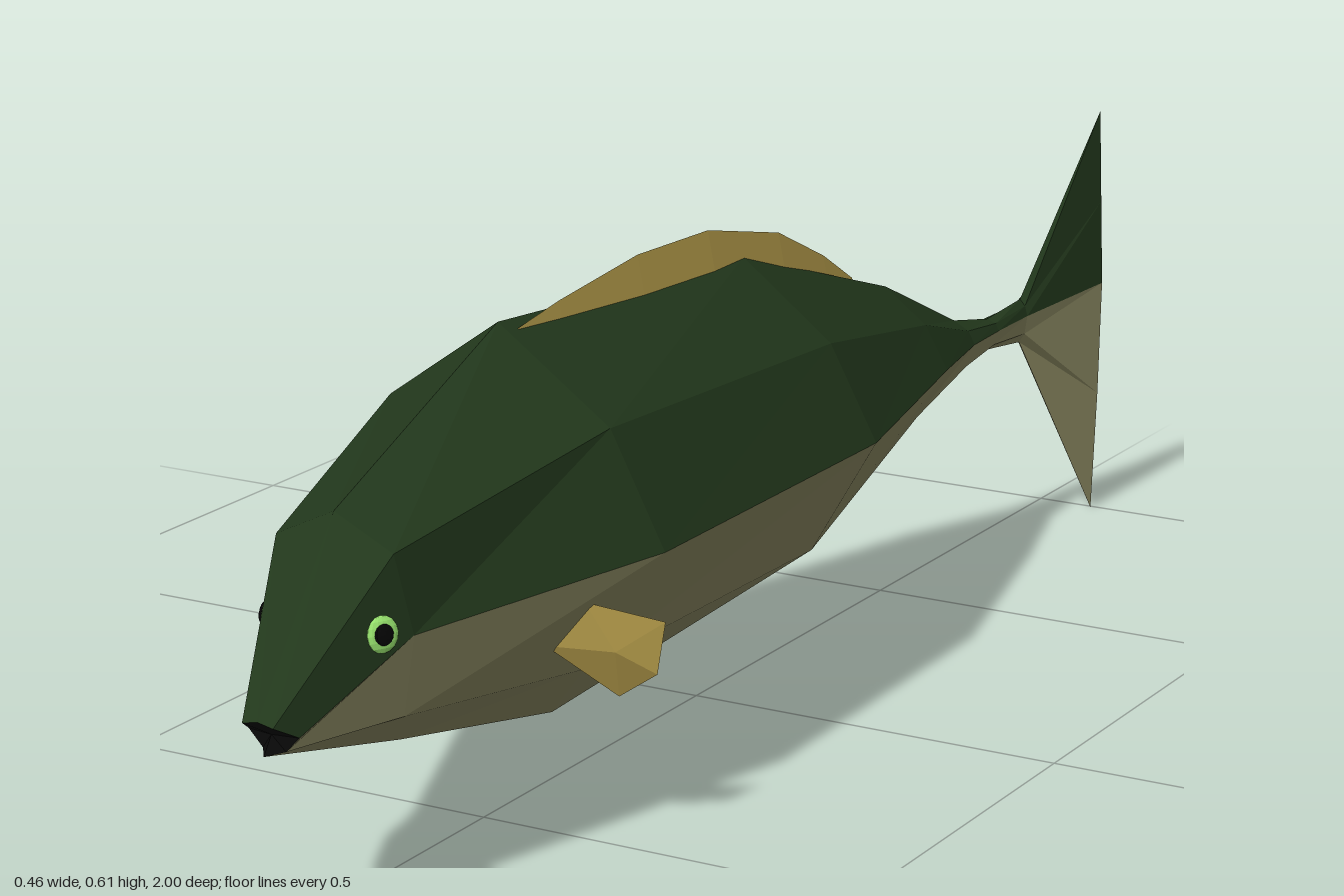
import * as THREE from 'three';

const V = (x, y, z) => new THREE.Vector3(x, y, z);
const mat = (color, side = THREE.FrontSide) =>
  new THREE.MeshStandardMaterial({ color, flatShading: true, side });

function meshFrom(name, tris, material) {
  const g = new THREE.BufferGeometry().setFromPoints(tris);
  g.computeVertexNormals();
  const m = new THREE.Mesh(g, material);
  m.name = name;
  return m;
}

// Skin between successive rows of points
function skin(rows) {
  const t = [];
  for (let i = 0; i < rows.length - 1; i++) {
    const p = rows[i], q = rows[i + 1];
    for (let k = 0; k < p.length - 1; k++) {
      t.push(p[k], q[k], q[k + 1], p[k], q[k + 1], p[k + 1]);
    }
  }
  return t;
}

// Fan of triangles from a centre point through a list of points
function fan(c, pts) {
  const t = [];
  for (let i = 0; i < pts.length - 1; i++) t.push(c, pts[i], pts[i + 1]);
  return t;
}

// Cross-sections, nose to tail: centre x, z of top / middle / bottom,
// top y, upper half-width and y, middle half-width and y, lower half-width and y, bottom y
const stations = [
  [0.038, 1.00, 0.97, 0.99, 0.278, 0.02, 0.274, 0.033, 0.257, 0.015, 0.238, 0.236],
  [0.018, 0.82, 0.81, 0.70, 0.462, 0.077, 0.425, 0.095, 0.333, 0.08, 0.237, 0.162],
  [-0.01, 0.44, 0.44, 0.33, 0.585, 0.15, 0.479, 0.222, 0.342, 0.113, 0.183, 0.077],
  [0.01, -0.10, -0.10, -0.10, 0.550, 0.125, 0.455, 0.19, 0.336, 0.10, 0.183, 0.155],
  [0.013, -0.48, -0.48, -0.48, 0.430, 0.06, 0.385, 0.093, 0.328, 0.05, 0.258, 0.245],
  [0.02, -0.67, -0.67, -0.67, 0.342, 0.022, 0.33, 0.032, 0.312, 0.02, 0.28, 0.272],
  [0.026, -0.76, -0.76, -0.76, 0.325, 0.013, 0.32, 0.018, 0.31, 0.012, 0.29, 0.281],
  [0.032, -0.85, -0.85, -0.85, 0.334, 0.008, 0.325, 0.012, 0.311, 0.008, 0.285, 0.272],
  [0.081, -0.995, -1.00, -0.995, 0.58, 0.004, 0.45, 0.007, 0.332, 0.004, 0.17, 0],
];

function ring([cx, tz, z, bz, top, sw, sy, mw, my, lw, ly, bot]) {
  return [
    V(cx + mw, my, z), V(cx + sw, sy, tz), V(cx, top, tz), V(cx - sw, sy, tz),
    V(cx - mw, my, z), V(cx - lw, ly, z), V(cx, bot, bz), V(cx + lw, ly, z), V(cx + mw, my, z),
  ];
}

function eye(side) {
  const g = new THREE.Group();
  g.name = side > 0 ? 'leftEye' : 'rightEye';
  const iris = new THREE.Mesh(new THREE.SphereGeometry(0.021, 16, 8), mat(0x9be870));
  iris.name = 'iris';
  iris.scale.z = 0.3;
  const pupil = new THREE.Mesh(new THREE.SphereGeometry(0.012, 12, 8), mat(0x050505));
  pupil.name = 'pupil';
  pupil.scale.z = 0.35;
  pupil.position.z = 0.005;
  g.add(iris, pupil);
  g.position.set(0.023 + side * 0.075, 0.343, 0.85);
  g.lookAt(0.023 + side * 0.93, 0.5, 1.25);
  return g;
}

export function createModel() {
  const fish = new THREE.Group();
  fish.name = 'fish';
  const green = mat(0x22381c), belly = mat(0x8f8d65);
  const gold = mat(0xc0a650, THREE.DoubleSide);

  // Back and belly, running into the tail fin
  const rings = stations.map(ring);
  const last = rings[rings.length - 1];
  const half = (a, b) => {
    const rows = rings.map((r) => r.slice(a, b));
    const end = last.slice(a, b);
    return skin(rows).concat(fan(end[0], end.slice(1).reverse()));
  };
  fish.add(meshFrom('backAndUpperTail', half(0, 5), green));
  fish.add(meshFrom('bellyAndLowerTail', half(4, 9), belly));

  // Dark open mouth
  fish.add(meshFrom('mouth', fan(V(0.038, 0.257, 0.975), rings[0]), mat(0x0a0a0a, THREE.DoubleSide)));

  // Dorsal fin, a thin ridge along the back
  const ridge = [[0.42, 0.575], [0.33, 0.588], [0.15, 0.605], [-0.02, 0.6], [-0.2, 0.56], [-0.32, 0.505], [-0.4, 0.458]];
  const fin = ridge.map(([z, y]) => [V(0.016, y - 0.055, z), V(0.005, y, z), V(-0.008, y - 0.055, z)]);
  fish.add(meshFrom('dorsalFin', skin(fin), gold));

  // Pectoral fins, each a slightly raised fan
  const leftFin = [[0.125, 0.25, 0.56], [0.165, 0.303, 0.54], [0.23, 0.27, 0.47], [0.222, 0.207, 0.475], [0.18, 0.178, 0.49]];
  const rightFin = [[-0.11, 0.22, 0.56], [-0.16, 0.287, 0.535], [-0.182, 0.247, 0.475], [-0.15, 0.192, 0.48], [-0.11, 0.18, 0.52]];
  const pectoral = (name, pts, c) => {
    const p = pts.map((a) => V(...a));
    fish.add(meshFrom(name, fan(V(...c), [...p, p[0]]), gold));
  };
  pectoral('leftPectoralFin', leftFin, [0.19, 0.24, 0.515]);
  pectoral('rightPectoralFin', rightFin, [-0.148, 0.228, 0.522]);

  fish.add(eye(1), eye(-1));
  return fish;
}
